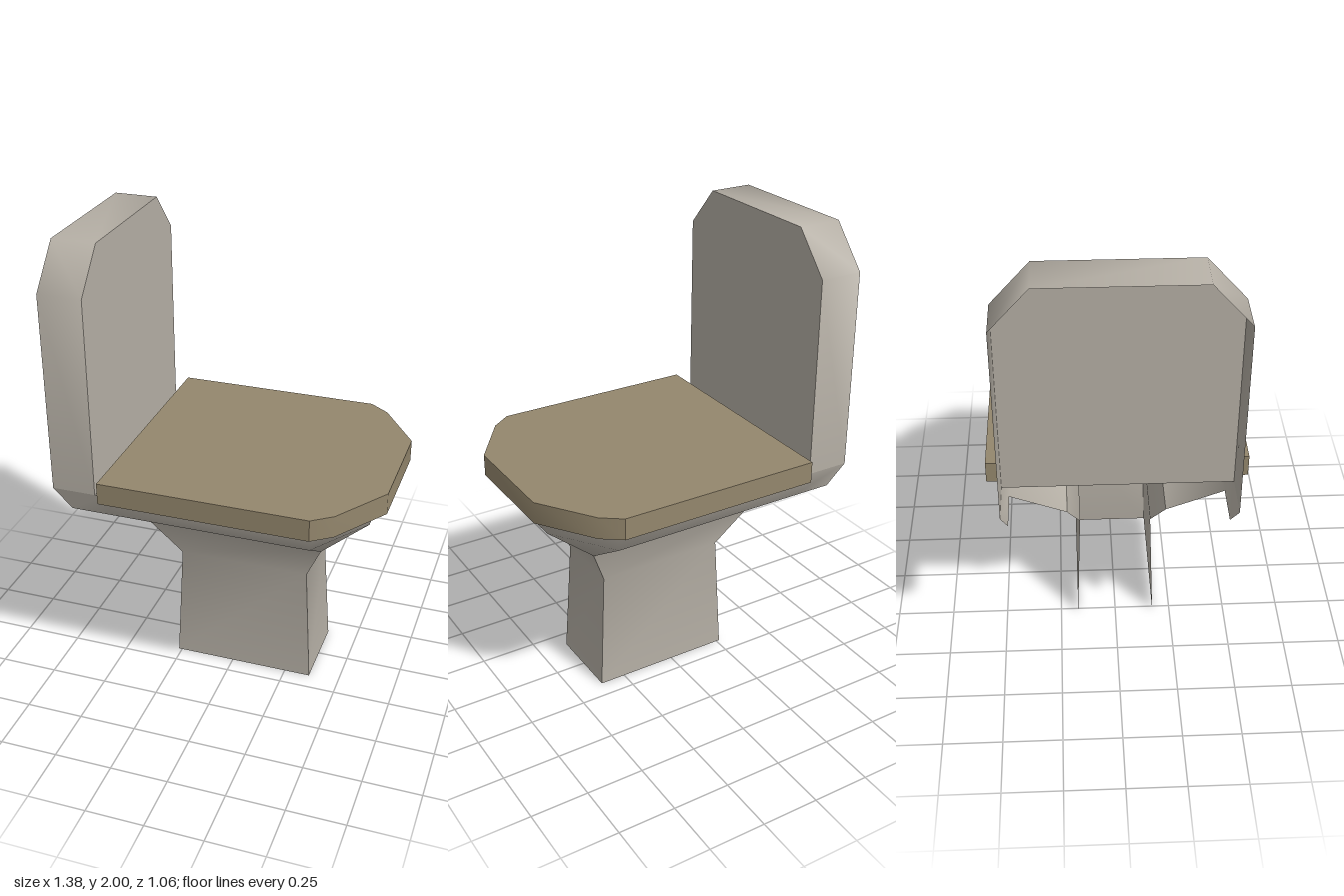
import * as THREE from 'three';
import { toCreasedNormals } from 'three/addons/utils/BufferGeometryUtils.js';

const porcelain = new THREE.MeshStandardMaterial({ color: 0xb5afa5, side: THREE.DoubleSide });
porcelain.name = 'porcelain';
const lidBrown = new THREE.MeshStandardMaterial({ color: 0x94876d });
lidBrown.name = 'lidBrown';

// Half outline [x, z] from back to front, mirrored into a U open at the back
function section(y, half) {
  const left = half.map(([x, z]) => new THREE.Vector3(x, y, z));
  const right = half.map(([x, z]) => new THREE.Vector3(x, y, -z)).reverse();
  return [...left, ...right];
}

// Skin between pairs of rows, skipping collapsed triangles
function skin(pairs, crease) {
  const points = [];
  const triangle = (a, b, c) => {
    if (new THREE.Triangle(a, b, c).getArea() > 1e-6) points.push(a, b, c);
  };
  for (const [a, b] of pairs) {
    for (let i = 0; i < a.length - 1; i++) {
      triangle(a[i], a[i + 1], b[i + 1]);
      triangle(a[i], b[i + 1], b[i]);
    }
  }
  const geometry = new THREE.BufferGeometry().setFromPoints(points);
  return toCreasedNormals(geometry, crease);
}

function polygon(points) {
  return new THREE.Shape(points.map(([x, y]) => new THREE.Vector2(x, y)));
}

export function createModel() {
  const model = new THREE.Group();
  const add = (name, geometry, material) => {
    const mesh = new THREE.Mesh(geometry, material);
    mesh.name = name;
    model.add(mesh);
    return mesh;
  };

  // Pedestal, open at the back and the bottom
  const foot = section(0, [[-0.265, 0.172], [0.365, 0.172]]);
  const waist = section(0.535, [[-0.24, 0.155], [0.335, 0.155]]);
  const neck = section(0.705, [[-0.37, 0.21], [0.41, 0.21]]);
  add('pedestal', skin([[foot, waist], [waist, neck]], 0.8), porcelain);

  // Bowl, whose upper band runs back under the tank
  const bowlBottom = section(0.705, [[-0.37, 0.21], [0.41, 0.21], [0.41, 0.21]]);
  const bowlMiddle = section(0.86, [[-0.44, 0.445], [0.42, 0.445], [0.605, 0.18]]);
  const bandBottom = section(0.86, [[-0.62, 0.445], [-0.44, 0.445], [0.42, 0.445], [0.605, 0.18]]);
  const bandTop = section(0.96, [[-0.69, 0.47], [-0.46, 0.47], [0.44, 0.47], [0.635, 0.2]]);
  add('bowl', skin([[bowlBottom, bowlMiddle], [bandBottom, bandTop]], 1.1), porcelain);

  // Ledge between tank and lid
  const ledge = new THREE.PlaneGeometry(0.04, 0.94).rotateX(-Math.PI / 2);
  add('ledge', ledge, porcelain).position.set(-0.48, 0.96, 0);

  // Tank: front panel and rim, open at the back
  const tankOutline = [[0.47, 0.96], [0.47, 1.825], [0.315, 2], [-0.315, 2], [-0.47, 1.825], [-0.47, 0.96]];
  const tankRow = (x) => tankOutline.map(([z, y]) => new THREE.Vector3(x, y, z));
  add('tankRim', skin([[tankRow(-0.5), tankRow(-0.69)]], 1.1), porcelain);
  const panel = new THREE.ShapeGeometry(polygon(tankOutline)).rotateY(Math.PI / 2);
  add('tankPanel', panel, porcelain).position.x = -0.5;

  // Lid slab with a chamfered front
  const lidHalf = [[-0.46, -0.532], [0.44, -0.532], [0.525, -0.47], [0.685, -0.235]];
  const lidShape = polygon([...lidHalf, ...lidHalf.map(([x, z]) => [x, -z]).reverse()]);
  const lid = new THREE.ExtrudeGeometry(lidShape, { depth: 0.095, bevelEnabled: false });
  lid.rotateX(-Math.PI / 2);
  add('lid', toCreasedNormals(lid, 0.625), lidBrown).position.y = 0.96;

  return model;
}
